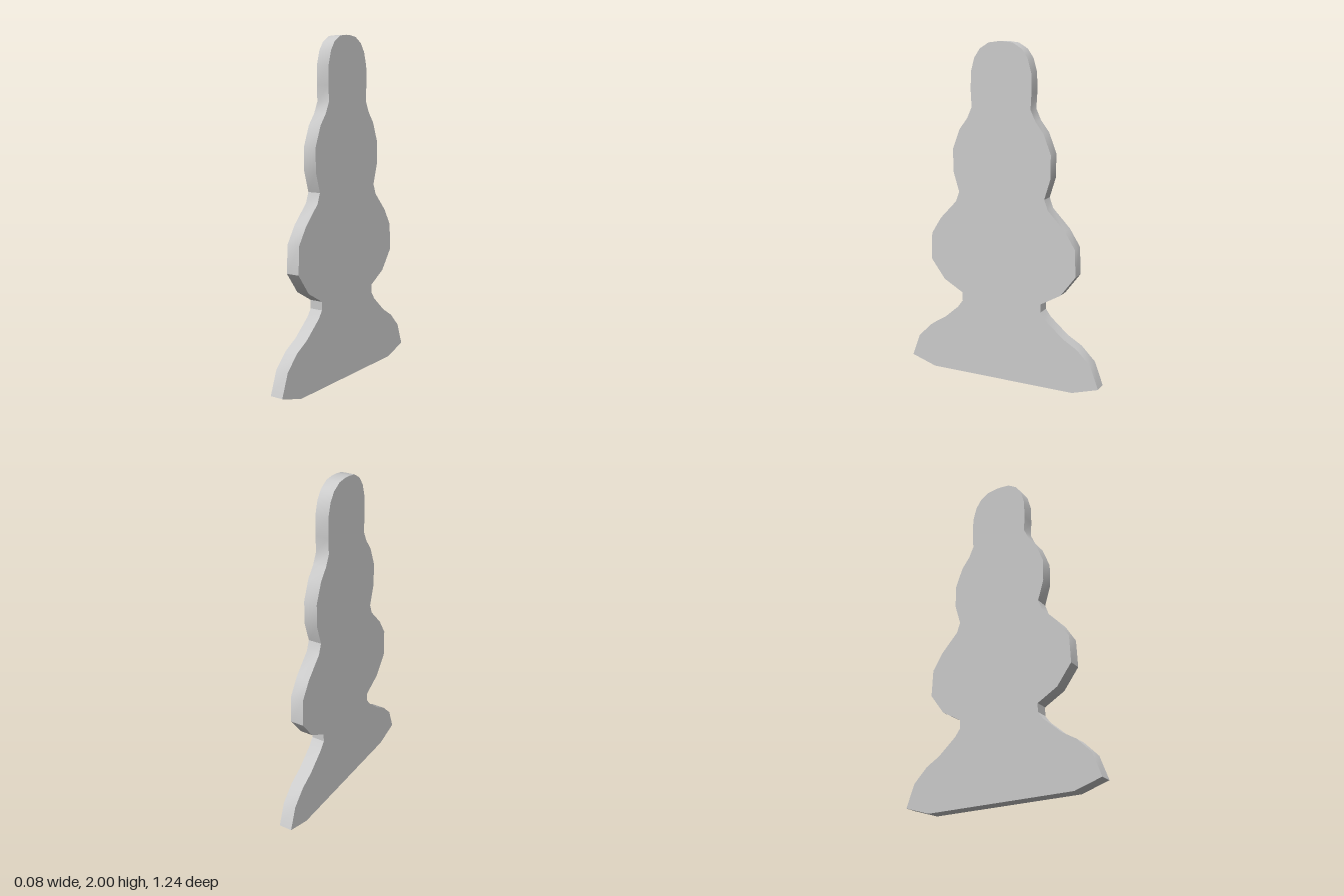
import * as THREE from 'three';
import { toCreasedNormals } from 'three/addons/utils/BufferGeometryUtils.js';

const THICKNESS = 0.08;

// Half outline from the foot to the crown: [distance from centre line, height]
const HALF_OUTLINE = [
  [0.46, 0], [0.62, 0.05], [0.57, 0.185], [0.485, 0.27], [0.4, 0.32], [0.29, 0.415], // flared base
  [0.257, 0.46], [0.257, 0.51], // narrow neck above the base
  [0.38, 0.58], [0.47, 0.7], [0.463, 0.86], [0.4, 0.96], [0.295, 1.07], // lower bulge
  [0.273, 1.13], [0.31, 1.25], [0.31, 1.385], [0.265, 1.5], [0.215, 1.565], // upper bulge
  [0.185, 1.63], [0.19, 1.72], [0.188, 1.83], [0.165, 1.91], [0.13, 1.96], [0.075, 1.993], [0.02, 2], // rounded head
];

export function createModel() {
  const group = new THREE.Group();
  group.name = 'flatFigure';

  // Mirror the half outline into a closed silhouette
  const mirrored = HALF_OUTLINE.map(([z, y]) => [-z, y]).reverse();
  const points = [...HALF_OUTLINE, ...mirrored].map(([z, y]) => new THREE.Vector2(z, y));

  // Extrude the silhouette and turn it so the thickness runs along x
  let geometry = new THREE.ExtrudeGeometry(new THREE.Shape(points), { depth: THICKNESS, bevelEnabled: false });
  geometry.translate(0, 0, -THICKNESS / 2);
  geometry.rotateY(-Math.PI / 2);
  geometry = toCreasedNormals(geometry, 0.57);

  const plate = new THREE.Mesh(geometry, new THREE.MeshStandardMaterial({ color: 0xcccccc }));
  plate.name = 'silhouettePlate';
  group.add(plate);
  return group;
}
